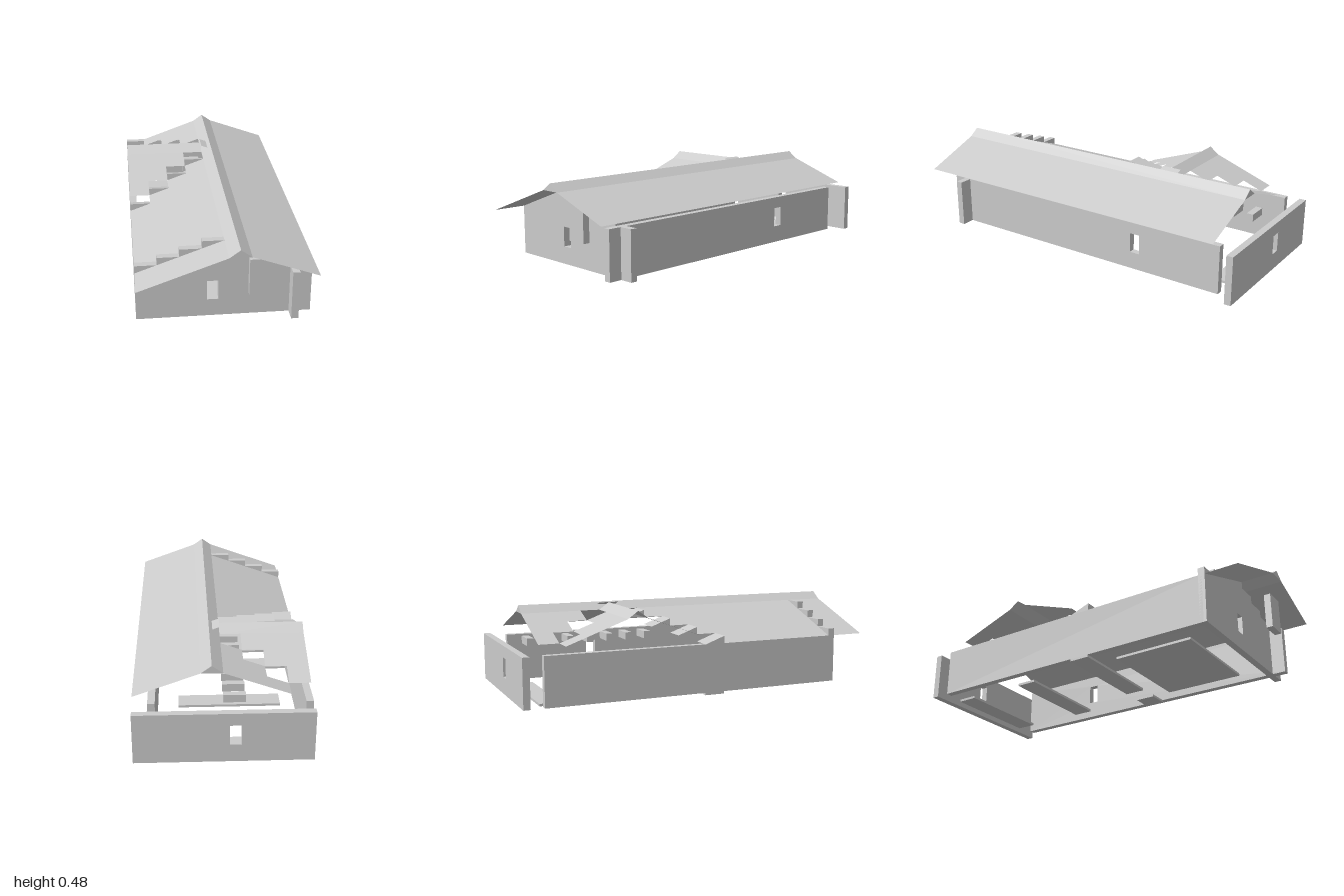
import * as THREE from 'three';

const T = 0.111;          // roof grid step
const RISE = 0.04;        // height gained per step
const EAVE = 0.278, BASE = 0.013, THICK = 0.037;

const solid = new THREE.MeshStandardMaterial({ color: 0xcccccc, flatShading: true });
const sheet = new THREE.MeshStandardMaterial({ color: 0xcccccc, flatShading: true, side: THREE.DoubleSide });

export function createModel() {
  const model = new THREE.Group();

  const add = (name, geometry, material = solid) => {
    const mesh = new THREE.Mesh(geometry, material);
    mesh.name = name;
    model.add(mesh);
    return mesh;
  };

  // Box given by its two opposite corners
  const box = (name, x0, x1, y0, y1, z0, z1) =>
    add(name, new THREE.BoxGeometry(x1 - x0, y1 - y0, z1 - z0))
      .position.set((x0 + x1) / 2, (y0 + y1) / 2, (z0 + z1) / 2);

  // Thin panel through three or four corners
  const panel = (name, ...corners) => {
    const g = new THREE.BufferGeometry();
    g.setAttribute('position', new THREE.Float32BufferAttribute(corners.flat(), 3));
    g.setIndex(corners.length === 4 ? [0, 1, 2, 0, 2, 3] : [0, 1, 2]);
    g.computeVertexNormals();
    add(name, g, sheet);
  };

  // Panel sloping along x between two z limits
  const slopeX = (name, x0, y0, x1, y1, z0, z1) =>
    panel(name, [x0, y0, z1], [x1, y1, z1], [x1, y1, z0], [x0, y0, z0]);

  // Panel sloping along z between two x limits
  const slopeZ = (name, z0, y0, z1, y1, x0, x1) =>
    panel(name, [x0, y1, z1], [x1, y1, z1], [x1, y0, z0], [x0, y0, z0]);

  // Wall outline with an optional rectangular window, extruded to thickness
  const wall = (name, outline, hole) => {
    const shape = new THREE.Shape(outline.map(p => new THREE.Vector2(...p)));
    if (hole) {
      const [a, b, c, d] = hole;
      shape.holes.push(new THREE.Path([[a, c], [a, d], [b, d], [b, c]].map(p => new THREE.Vector2(...p))));
    }
    return add(name, new THREE.ExtrudeGeometry(shape, { depth: THICK, bevelEnabled: false }));
  };

  const rect = (x0, x1, y0, y1) => [[x0, y0], [x1, y0], [x1, y1], [x0, y1]];
  const gridX = i => -4 * T + i * T;            // i = 0 is the right eave
  const height = i => EAVE + i * RISE;
  const endWindow = [-0.085, -0.028, 0.107, 0.213];

  // Stepped front gable wall
  const steps = [1, 2, 3, 4, 3, 2, 1, 0];
  const outline = [[gridX(8), BASE], [gridX(0), BASE]];
  steps.forEach((s, i) => outline.push([gridX(i), height(s)], [gridX(i + 1), height(s)]));
  wall('frontWall', outline.reverse(), endWindow).position.z = 0.78;
  box('frontShutter', T, 2 * T, 0.187, 0.385, 0.893, 0.93);

  // Back wall, set apart from the side walls
  wall('backWall', rect(gridX(0), gridX(8), BASE, EAVE), endWindow).position.z = -1;

  // Long side walls
  const left = wall('leftWall', rect(-0.89, 0.89, BASE, EAVE), [0.36, 0.417, 0.107, 0.215]);
  left.rotation.y = Math.PI / 2;
  left.position.x = 3 * T;
  box('rightWall', gridX(0), gridX(0) + THICK, BASE, EAVE, -0.89, 0.8);

  // Floor slabs
  [[-3, 2, 2, 6], [-4, 1, 0, 1], [2, 3, 0, 1], [-3, 2, -4, -3], [-3, 2, -8, -7]].forEach(
    ([x0, x1, z0, z1]) => box('floorSlab', x0 * T, x1 * T, 0, BASE, z0 * T, z1 * T));

  // Row of short beams below the ridge
  for (let k = 2; k <= 8; k++) box('ceilingBeam', -T, 0, EAVE, EAVE + RISE, -k * T, -k * T + THICK);

  // Main roof: ridge, left slope, and right slope cut in steps around the cross roof
  const back = -8 * T, front = 1, ridgeX = T / 2, top = height(5);
  slopeX('ridgeRight', 0, height(4), ridgeX, top, back, front);
  slopeX('ridgeLeft', ridgeX, top, T, height(4), back, front);
  [back, front].forEach(z =>
    panel('ridgeEnd', [0, height(4), z], [T, height(4), z], [ridgeX, top, z]));
  slopeX('leftRoof', T, height(4), 4 * T, height(1), back, front);
  for (let i = 0; i < 4; i++) {
    const strip = (z0, z1) => slopeX('rightRoof', gridX(i), height(i), gridX(i + 1), height(i + 1), z0, z1);
    strip((1 - i) * T, front);
    if (i > 0) strip(back, (-8 + i) * T);
  }

  // Cross roof: ridge running to the right, slopes in shrinking strips
  const ridgeZ = -3.5 * T;
  slopeZ('crossRidgeFront', ridgeZ, top, -3 * T, height(4), gridX(0), 0);
  slopeZ('crossRidgeBack', -4 * T, height(4), ridgeZ, top, gridX(0), 0);
  slopeX('ridgeJunction', 0, top, T, height(4), -4 * T, -3 * T);
  for (let i = 0; i < 3; i++) {
    slopeZ('crossRoofFront', -3 * T, height(4), -i * T, height(i + 1), gridX(i), gridX(i + 1));
    slopeZ('crossRoofBack', (-7 + i) * T, height(i + 1), -4 * T, height(4), gridX(i), gridX(i + 1));
  }

  // Wedge tiles stepping up the valley
  for (let i = 0; i < 4; i++) {
    const lo = height(i), hi = height(i + 1), z0 = -i * T, z1 = z0 + T;
    const x0 = gridX(i), x1 = gridX(i + 1);
    slopeZ('valleyTile', z0, lo, z1, hi, x0, x1);
    [x0, x1].forEach(x => panel('valleyTileSide', [x, lo, z0], [x, lo, z1], [x, hi, z1]));
    panel('valleyTileFront', [x0, lo, z1], [x1, lo, z1], [x1, hi, z1], [x0, hi, z1]);
  }

  return model;
}
